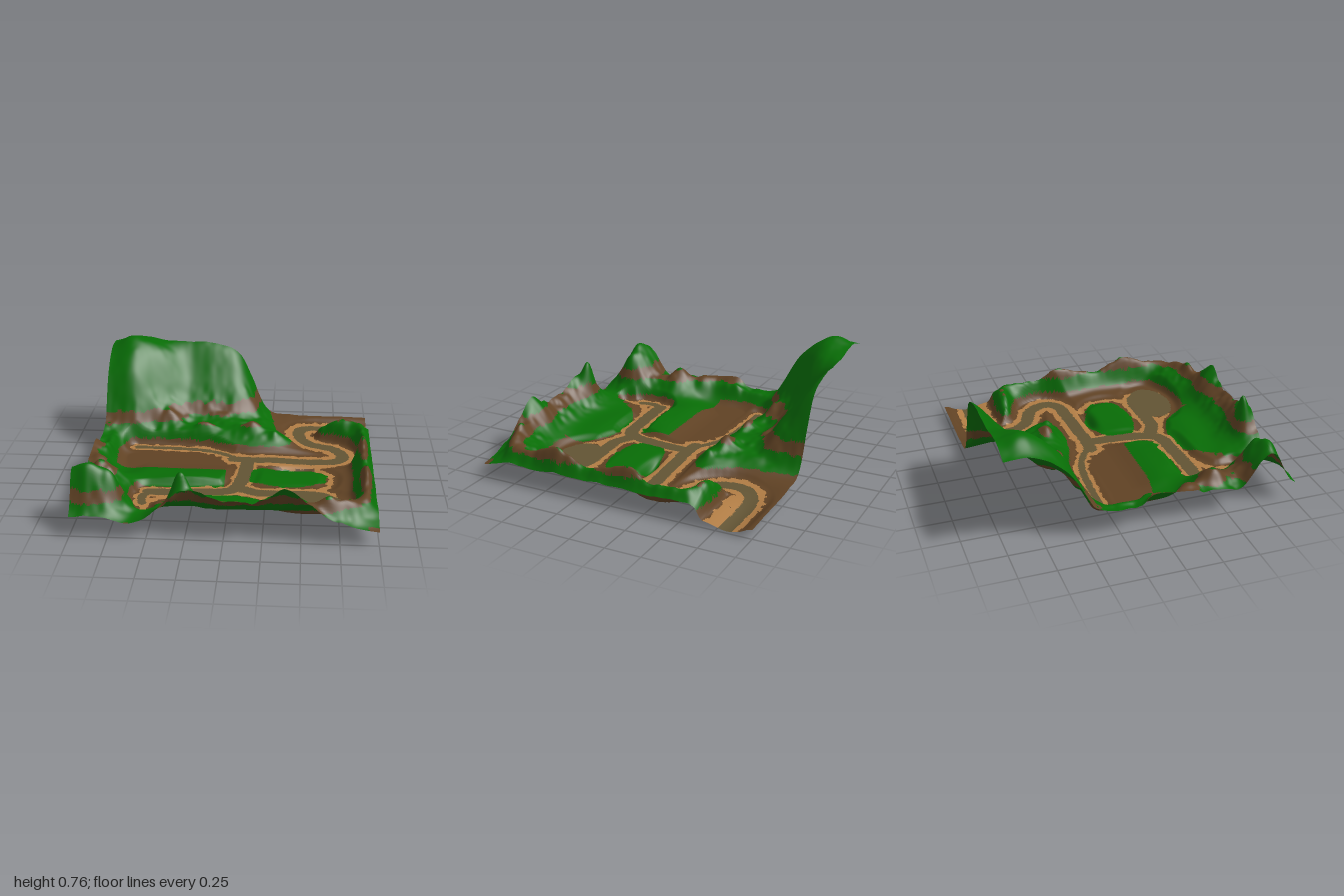
import * as THREE from 'three';

const N = 190; // grid cells per side
const { smoothstep, lerp, clamp } = THREE.MathUtils;

// Cross-sections from back to front; each runs from x = -1 to x = 1
const SECTIONS = [
  [.68, .72, .69, .68, .67, .57, .14, .08, .07, .07, .065],
  [.67, .73, .64, .45, .43, .38, .15, .06, .03, .02, .015],
  [.53, .57, .36, .22, .205, .20, .16, .07, .12, .17, .12],
  [.23, .21, .15, .16, .17, .17, .19, .12, .07, .07, .12],
  [.19, .08, .07, .07, .07, .07, .07, .07, .07, .07, .11],
  [.24, .075, .07, .07, .07, .07, .07, .07, .07, .07, .12],
  [.22, .10, .11, .11, .11, .10, .08, .075, .075, .08, .12],
  [.22, .20, .10, .12, .12, .08, .07, .07, .07, .08, .11],
  [.20, .21, .08, .10, .11, .11, .10, .07, .07, .09, .11],
  [.39, .38, .14, .14, .14, .13, .13, .14, .16, .22, .14],
  [.14, .15, .11, .24, .35, .30, .28, .385, .24, .14, .10],
];

// Roads: paved half width, verge width, path points in x, z
const ROADS = [
  [.048, .05, [[1.1, -.81], [.75, -.82], [.57, -.81], [.48, -.73], [.48, -.58], [.56, -.46],
    [.72, -.39], [.8, -.27], [.76, -.17], [.6, -.14], [.3, -.13], [.1, -.12], [0, -.13]]],
  [.025, .03, [[.03, -.13], [-.08, -.21], [-.2, -.26], [-.4, -.29], [-.74, -.3]]],
  [.05, .03, [[.1, -.12], [.09, .1], [.06, .3], [0, .4], [-.2, .43], [-.55, .45]]],
  [.03, .03, [[-.55, .45], [-.59, .52], [-.58, .62]]],
  [.05, .04, [[.06, .36], [.2, .42], [.4, .42], [.6, .42], [.66, .45]]],
  [0, .03, [[-.55, .75], [-.56, .62], [-.45, .54], [-.3, .48], [0, .43], [.2, .47], [.33, .6]]],
  [0, .028, [[.6, .38], [.69, .27], [.7, .1], [.62, -.03], [.7, -.1]]],
  [0, .04, [[1.1, -.7], [.75, -.71], [.62, -.7]]],
].map(([paved, verge, pts]) => ({
  paved, verge,
  pts: new THREE.CatmullRomCurve3(pts.map(([x, z]) => new THREE.Vector3(x, 0, z)))
    .getPoints(pts.length * 4),
}));

// Knolls and crests: height, x, z, radius in x, radius in z
const KNOLLS = [
  [.03, -.87, -.87, .08, .1], [.06, -.88, .45, .08, .1], [.06, -.9, .24, .06, .07],
  [.06, -.9, .84, .09, .06], [.06, -.72, .82, .06, .07], [.19, -.28, .93, .07, .05],
  [.09, .68, .91, .08, .05], [.06, .8, .87, .07, .05], [.06, .8, -.57, .15, .05],
  [.05, -.52, -.5, .07, .05], [.04, -.25, -.43, .09, .04], [.04, .12, -.42, .07, .05],
  [.04, .3, -.36, .06, .04], [.05, -.91, -.12, .04, .16],
];

function hash(i, j) {
  const s = Math.sin(i * 127.1 + j * 311.7) * 43758.5453;
  return s - Math.floor(s);
}

// Smooth value noise in -1..1
function noise(x, z) {
  const i = Math.floor(x), j = Math.floor(z);
  const u = smoothstep(x - i, 0, 1), v = smoothstep(z - j, 0, 1);
  return 2 * lerp(lerp(hash(i, j), hash(i + 1, j), u),
    lerp(hash(i, j + 1), hash(i + 1, j + 1), u), v) - 1;
}

function cubic(a, b, c, d, t) {
  return b + .5 * t * (c - a + t * (2 * a - 5 * b + 4 * c - d + t * (3 * (b - c) + d - a)));
}

const spline = (list, p) => {
  const i = clamp(Math.floor(p), 0, 9), at = (k) => list[clamp(k, 0, 10)];
  return cubic(at(i - 1), at(i), at(i + 1), at(i + 2), p - i);
};

function pathDistance(pts, x, z) {
  let best = Infinity;
  for (let i = 1; i < pts.length; i++) {
    const a = pts[i - 1], dx = pts[i].x - a.x, dz = pts[i].z - a.z;
    const t = clamp(((x - a.x) * dx + (z - a.z) * dz) / (dx * dx + dz * dz), 0, 1);
    best = Math.min(best, Math.hypot(x - a.x - t * dx, z - a.z - t * dz));
  }
  return best;
}

const inOval = (x, z, cx, cz, rx, rz) => Math.hypot((x - cx) / rx, (z - cz) / rz);
const bump = (x, z, cx, cz, rx, rz) => Math.exp(-(((x - cx) / rx) ** 2) - ((z - cz) / rz) ** 2);
const yardDistance = (x, z) => (inOval(x, z, .54, .54, .24, .15) - 1) * .15;

// Signed distances to the paved surface and to the verge
function roadField(x, z) {
  let paved = yardDistance(x, z), verge = paved;
  for (const r of ROADS) {
    const d = pathDistance(r.pts, x, z);
    if (r.paved) paved = Math.min(paved, d - r.paved);
    verge = Math.min(verge, d - r.paved - r.verge);
  }
  return { paved, verge };
}

function height(x, z) {
  const px = (x + 1) * 5, pz = (z + 1) * 5;
  let h = spline(SECTIONS.map((row) => spline(row, px)), pz);
  // wavy crest along the right rim, then separate knolls
  const along = smoothstep(z, -.6, -.4) * (1 - smoothstep(z, .65, .9));
  h += along * Math.exp(-(((x - .93) / .055) ** 2)) * (.14 + .05 * Math.sin(z * 11.4 + 2.71));
  for (const [top, ...place] of KNOLLS) h += top * bump(x, z, ...place);
  // rough ground off the floor
  const rough = smoothstep(h, .1, .2) * (1 - .8 * smoothstep(h, .3, .45));
  h += rough * (.02 * noise(x * 9, z * 9) + .01 * noise(x * 21, z * 21));
  // valley floor and road beds: level on the left, sinking towards the back right exit
  const exit = smoothstep(x, .4, .8) * Math.exp(-(((z + .83) / .11) ** 2));
  const floor = .067 - .014 * smoothstep(x, .2, .6) * smoothstep(-z, -.6, .1) - .038 * exit;
  const { paved, verge } = roadField(x, z);
  h = lerp(floor, Math.max(h, floor), smoothstep(Math.min(paved - .02, verge), 0, .06));
  // ditch behind the oval green
  return h - .064 * bump(x, z, .45, 0, .15, .035);
}

// Surface kind: 0 grass, 1 earth, 2 verge, 3 paving
function kind(x, y, z) {
  const jag = noise(x * 30, z * 30), { paved, verge } = roadField(x, z);
  if (paved < .004 * jag) return 3;
  if (inOval(x, z, .39, .15, .29, .17) < 1 + .06 * jag) return 0;
  if (verge < .016 * jag - .004) return 2;
  const field = x < -.04 && z < .37 && z > .06 + .05 * smoothstep(x, -.9, -.5);
  const dome = inOval(x, z, -.04, .76, .38, .28) < 1;
  if (y < .21 && (field || dome)) return 0;
  if (y < .108 + .008 * jag) return 1;
  return y > .212 + .012 * jag && y < .29 + .02 * jag ? 1 : 0;
}

export function createModel() {
  const group = new THREE.Group();
  group.name = 'terrain';

  // One smooth height field, shared by all surface kinds
  const land = new THREE.PlaneGeometry(2, 2, N, N).rotateX(-Math.PI / 2);
  const p = land.attributes.position;
  let low = Infinity;
  for (let i = 0; i < p.count; i++) {
    p.setY(i, height(p.getX(i), p.getZ(i)));
    low = Math.min(low, p.getY(i));
  }
  land.translate(0, -low, 0);
  land.computeVertexNormals();

  // Sort the triangles by surface kind
  const buckets = [[], [], [], []], idx = land.index.array;
  for (let i = 0; i < idx.length; i += 3) {
    const t = [idx[i], idx[i + 1], idx[i + 2]];
    const mean = (get) => t.reduce((s, k) => s + p[get](k), 0) / 3;
    buckets[kind(mean('getX'), mean('getY'), mean('getZ'))].push(...t);
  }

  [['grass', 0x086c06], ['earth', 0x604224], ['roadVerge', 0xb07c44], ['roadPaving', 0x625434]]
    .forEach(([name, color], k) => {
      const geo = new THREE.BufferGeometry();
      geo.setAttribute('position', p);
      geo.setAttribute('normal', land.attributes.normal);
      geo.setIndex(buckets[k]);
      const mesh = new THREE.Mesh(geo.toNonIndexed(),
        new THREE.MeshStandardMaterial({ color, side: THREE.DoubleSide }));
      mesh.name = name;
      group.add(mesh);
    });
  return group;
}
